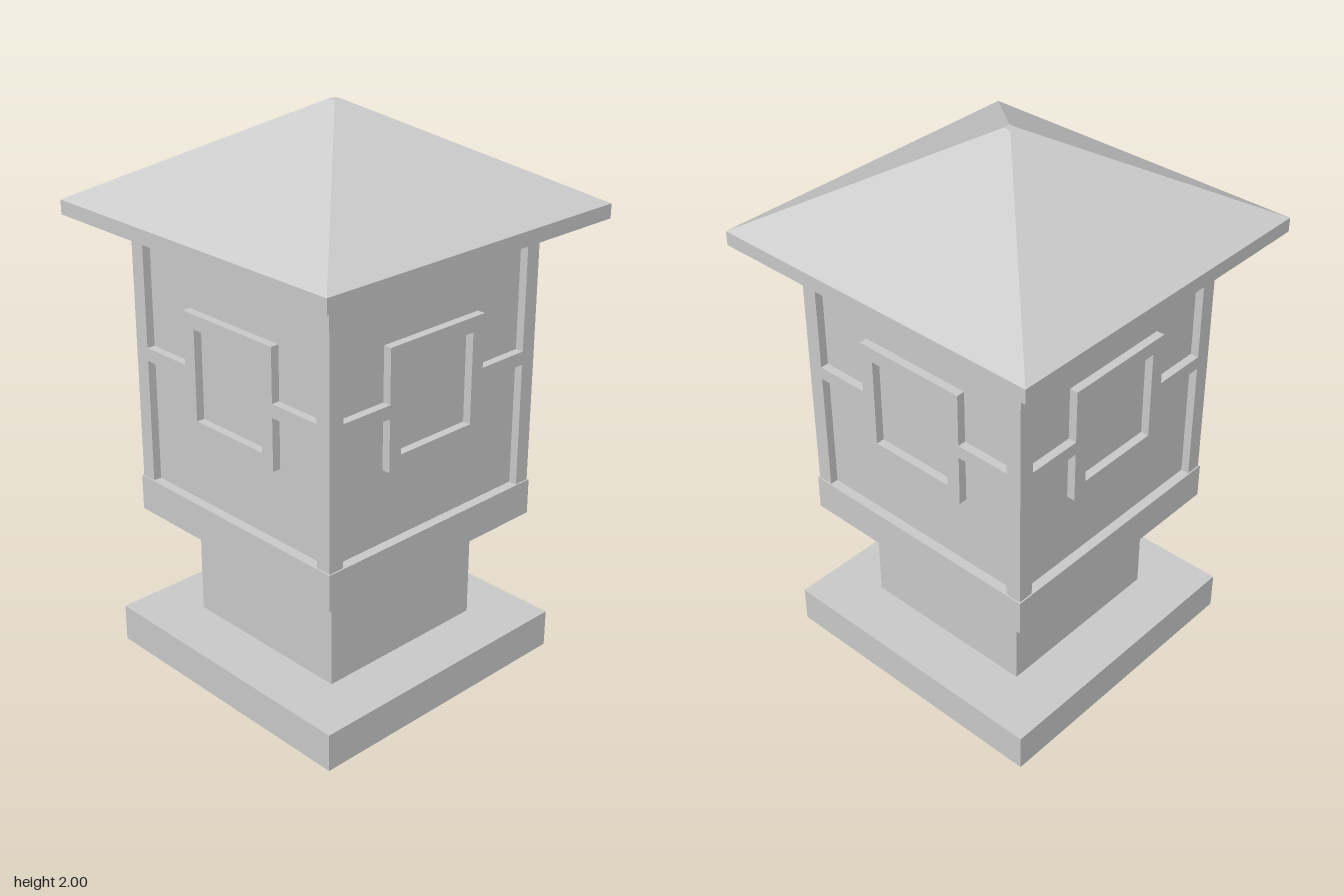
import * as THREE from 'three';

const HALF = 0.47;      // outer half width of the lantern box
const RELIEF = 0.03;    // how far posts and lattice stand out from the wall
const POST = 0.057;     // corner post width
const BOX_BOTTOM = 0.67, BOX_TOP = 1.615;

export function createModel() {
  const model = new THREE.Group();
  model.name = 'stoneLantern';
  const stone = new THREE.MeshStandardMaterial({ color: 0xcccccc, flatShading: true });

  const add = (name, geometry, parent = model) => {
    const mesh = new THREE.Mesh(geometry, stone);
    mesh.name = name;
    parent.add(mesh);
    return mesh;
  };
  // Square block centred on the vertical axis, between two heights
  const block = (name, half, y0, y1) => {
    add(name, new THREE.BoxGeometry(half * 2, y1 - y0, half * 2)).position.y = (y0 + y1) / 2;
  };

  block('base', 0.537, 0, 0.137);
  block('pillar', 0.336, 0.137, 0.54);
  block('collar', 0.475, 0.54, BOX_BOTTOM);
  block('lanternWall', HALF - RELIEF, BOX_BOTTOM, BOX_TOP);
  block('eaves', 0.628, BOX_TOP, 1.665);

  // Pyramid roof with a tiny flat tip
  const roof = new THREE.CylinderGeometry(0.015 * Math.SQRT2, 0.628 * Math.SQRT2, 0.335, 4, 1);
  roof.rotateY(Math.PI / 4);
  add('roof', roof).position.y = 1.665 + 0.335 / 2;

  // Square window frame joined to the posts by a bar on each side
  const inner = HALF - POST, w = 0.213, b0 = 1.118, b1 = 1.165, y0 = 0.932, y1 = 1.355;
  const points = (list) => list.map(([x, y]) => new THREE.Vector2(x, y));
  const outline = new THREE.Shape(points([
    [-w, y0], [w, y0], [w, b0], [inner, b0], [inner, b1], [w, b1],
    [w, y1], [-w, y1], [-w, b1], [-inner, b1], [-inner, b0], [-w, b0],
  ]));
  const h = 0.161;
  outline.holes.push(new THREE.Path(points([[-h, 0.98], [-h, 1.303], [h, 1.303], [h, 0.98]])));
  const lattice = new THREE.ExtrudeGeometry(outline, { depth: RELIEF, bevelEnabled: false });
  const post = new THREE.BoxGeometry(POST, BOX_TOP - BOX_BOTTOM, POST);

  // One lattice and one corner post per side
  for (let i = 0; i < 4; i++) {
    const side = new THREE.Group();
    side.name = ['front', 'left', 'back', 'right'][i] + 'Side';
    side.rotation.y = i * Math.PI / 2;
    model.add(side);
    add('windowLattice', lattice, side).position.z = HALF - RELIEF;
    add('cornerPost', post, side).position.set(HALF - POST / 2, (BOX_BOTTOM + BOX_TOP) / 2, HALF - POST / 2);
  }
  return model;
}
